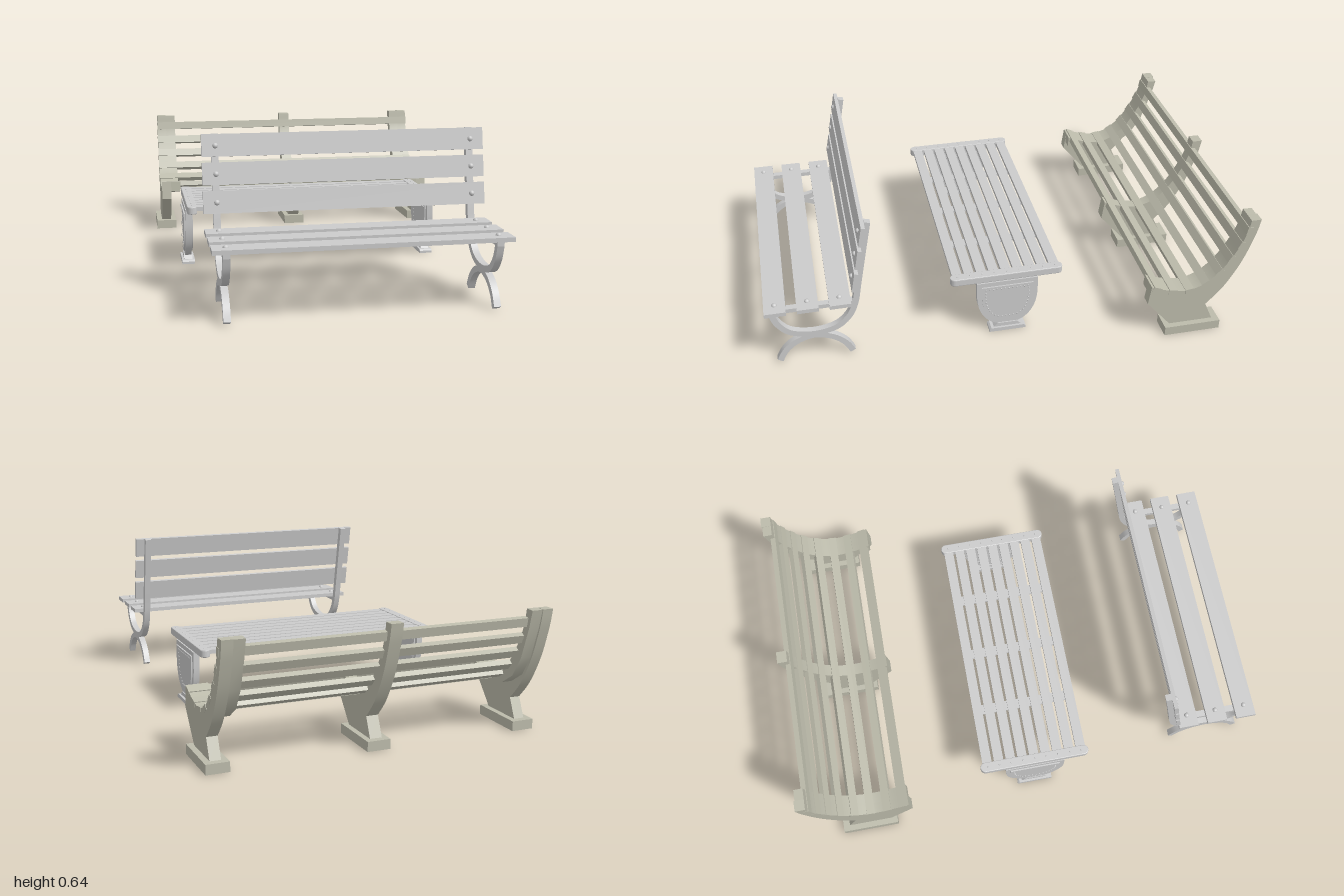
import * as THREE from 'three';
import { toCreasedNormals } from 'three/addons/utils/BufferGeometryUtils.js';

const grey = new THREE.MeshStandardMaterial({ color: 0xcccccc });
const stone = new THREE.MeshStandardMaterial({ color: 0xbcbbab });
const V = (z, y) => new THREE.Vector2(z, y);

function add(parent, name, geometry, x, y, z, material = grey) {
  const mesh = new THREE.Mesh(geometry, material);
  mesh.name = name;
  mesh.position.set(x, y, z);
  parent.add(mesh);
  return mesh;
}

const box = (parent, name, w, h, d, x, y, z, material) =>
  add(parent, name, new THREE.BoxGeometry(w, h, d), x, y, z, material);

// Extrude a (z, y) outline along x, centred on x = 0
function sideExtrude(points, width, hole) {
  const shape = new THREE.Shape(points);
  if (hole) shape.holes.push(new THREE.Path(hole));
  const g = new THREE.ExtrudeGeometry(shape, { depth: width, bevelEnabled: false });
  g.translate(0, 0, -width / 2).rotateY(-Math.PI / 2);
  return toCreasedNormals(g, 0.5);
}

// Flat bar of constant thickness that follows a curve in the (z, y) plane
function ribbon(points, thickness, width, steps = 48) {
  const curve = new THREE.SplineCurve(points);
  const a = [], b = [];
  for (let i = 0; i <= steps; i++) {
    const p = curve.getPointAt(i / steps), t = curve.getTangentAt(i / steps);
    a.push(V(p.x - t.y * thickness / 2, p.y + t.x * thickness / 2));
    b.unshift(V(p.x + t.y * thickness / 2, p.y - t.x * thickness / 2));
  }
  return sideExtrude([...a, ...b], width);
}

// Bench with curved metal frames and flat planks
function plankBench() {
  const g = new THREE.Group();
  g.name = 'plankBench';
  const lean = 0.185, bolt = new THREE.SphereGeometry(0.011, 12, 8);

  const backAndCradle = ribbon([V(0.567, 0.635), V(0.594, 0.49), V(0.621, 0.34), V(0.636, 0.26), V(0.664, 0.195),
    V(0.72, 0.145), V(0.81, 0.127), V(0.9, 0.145), V(0.95, 0.195), V(0.972, 0.255)], 0.025, 0.027, 64);
  const feet = ribbon([V(0.958, 0.009), V(0.93, 0.058), V(0.88, 0.098), V(0.81, 0.117),
    V(0.74, 0.098), V(0.69, 0.058), V(0.662, 0.009)], 0.025, 0.027);
  for (const x of [-0.503, 0.503]) {
    add(g, 'backFrame', backAndCradle, x, 0, 0);
    add(g, 'archedFoot', feet, x, 0, 0);
    box(g, 'frameHub', 0.026, 0.035, 0.09, x, 0.122, 0.81);
    box(g, 'seatRail', 0.027, 0.018, 0.345, x, 0.259, 0.812);
  }
  // Seat planks
  for (const z of [0.698, 0.826, 0.954]) {
    box(g, 'seatPlank', 1.11, 0.017, 0.086, 0, 0.2765, z);
    for (const x of [-0.503, 0.503]) add(g, 'bolt', bolt, x, 0.284, z);
  }
  // Leaning back planks
  for (const y of [0.382, 0.488, 0.594]) {
    const z = 0.621 - (y - 0.34) * lean + 0.021;
    box(g, 'backPlank', 1.11, 0.086, 0.016, 0, y, z).rotation.x = -Math.atan(lean);
    for (const x of [-0.503, 0.503]) add(g, 'bolt', bolt, x, y, z + 0.007);
  }
  return g;
}

// Shield outline for the table legs; inset shrinks it
function shieldOutline(inset) {
  const s = new THREE.Shape(), w = 0.129 - inset, top = 0.25 - inset, low = 0.03 + inset;
  s.moveTo(w, top);
  s.lineTo(w, 0.19);
  s.bezierCurveTo(w, 0.11, w * 0.75, low + 0.015, 0.035, low);
  s.lineTo(-0.035, low);
  s.bezierCurveTo(-w * 0.75, low + 0.015, -w, 0.11, -w, 0.19);
  s.lineTo(-w, top);
  s.closePath();
  return s;
}

// Low slatted table on two shield-shaped legs
function slatTable() {
  const g = new THREE.Group();
  g.name = 'slatTable';
  g.position.set(-0.0475, 0, 0.008);

  for (let i = -4; i <= 4; i++) box(g, 'tableSlat', 1.01, 0.017, 0.041, 0, 0.273, i * 0.0513);
  for (const x of [-0.262, 0, 0.262]) box(g, 'crossBrace', 0.042, 0.009, 0.44, x, 0.26, 0);

  // End bar with rounded tips
  const bar = new THREE.Shape();
  bar.absarc(0, 0.216, 0.021, 0, Math.PI);
  bar.absarc(0, -0.216, 0.021, Math.PI, Math.PI * 2);
  const barGeo = new THREE.ExtrudeGeometry(bar, { depth: 0.024, bevelSize: 0.003, bevelThickness: 0.004, bevelOffset: -0.003, bevelSegments: 2 });
  barGeo.rotateX(-Math.PI / 2);

  const body = sideExtrude(shieldOutline(0).getPoints(16), 0.026);
  const rim = sideExtrude(shieldOutline(0.02).getPoints(16), 0.038, shieldOutline(0.03).getPoints(16));
  const foot = sideExtrude([V(0.078, 0), V(0.078, 0.01), V(0.07, 0.017), V(-0.07, 0.017), V(-0.078, 0.01), V(-0.078, 0)], 0.055);
  const neck = sideExtrude([V(0.06, 0.015), V(0.042, 0.034), V(-0.042, 0.034), V(-0.06, 0.015)], 0.036);
  const stud = new THREE.SphereGeometry(0.0035, 8, 6);
  const studPath = shieldOutline(0.037).getSpacedPoints(36);
  for (const side of [-1, 1]) {
    const x = side * 0.533;
    add(g, 'endBar', barGeo, side * 0.523, 0.256, 0);
    add(g, 'shieldLeg', body, x, 0, 0);
    add(g, 'shieldRim', rim, x, 0, 0);
    add(g, 'legNeck', neck, x, 0, 0);
    add(g, 'tableFoot', foot, x, 0, 0);
    for (const p of studPath) for (const face of [-1, 1]) add(g, 'stud', stud, x + face * 0.013, p.y, p.x);
    for (let i = -4; i <= 4; i++) add(g, 'barStud', stud, side * 0.523, 0.284, i * 0.0513);
  }
  return g;
}

// Curved bench with three solid ribs and narrow slats
function curvedBench() {
  const g = new THREE.Group();
  g.name = 'curvedBench';
  const seat = new THREE.SplineCurve([V(-0.559, 0.247), V(-0.639, 0.217), V(-0.714, 0.206), V(-0.783, 0.226),
    V(-0.847, 0.279), V(-0.9, 0.357), V(-0.94, 0.445), V(-0.955, 0.521)]);
  const outer = new THREE.SplineCurve([V(-0.997, 0.521), V(-0.981, 0.445), V(-0.938, 0.318), V(-0.874, 0.2), V(-0.805, 0.12)]);
  const inner = seat.getPoints(40), outerPts = outer.getPoints(24);

  const rib = [...inner, ...outerPts, V(-0.842, 0.038), V(-0.655, 0.038), V(-0.548, 0.163)];
  // Crescent beam lining the end ribs
  const crescent = [...inner, V(-0.993, 0.519), V(-0.975, 0.445), V(-0.932, 0.32), V(-0.88, 0.236),
    V(-0.81, 0.19), V(-0.72, 0.178), V(-0.63, 0.182), V(-0.556, 0.2)];
  const endRib = sideExtrude(rib, 0.044), liner = sideExtrude(crescent, 0.048);

  add(g, 'middleRib', sideExtrude(rib, 0.05), 0, 0, 0, stone);
  box(g, 'middleFoot', 0.096, 0.04, 0.241, 0, 0.02, -0.7485, stone);
  for (const side of [-1, 1]) {
    add(g, 'endRib', endRib, side * 0.641, 0, 0, stone);
    add(g, 'ribLiner', liner, side * 0.598, 0, 0, stone);
    box(g, 'endFoot', 0.093, 0.04, 0.241, side * 0.641, 0.02, -0.7485, stone);
  }
  // Slats set into the ribs along the seat curve
  for (let i = 0; i < 8; i++) {
    const u = 0.05 + i * 0.1235, p = seat.getPointAt(u), t = seat.getTangentAt(u);
    const slat = box(g, 'seatSlat', 1.329, 0.022, 0.036, 0, p.y + t.x * 0.007, p.x - t.y * 0.007, stone);
    slat.rotation.x = Math.atan2(t.y, -t.x);
  }
  return g;
}

export function createModel() {
  const model = new THREE.Group();
  model.name = 'parkFurniture';
  model.add(plankBench(), slatTable(), curvedBench());
  return model;
}
